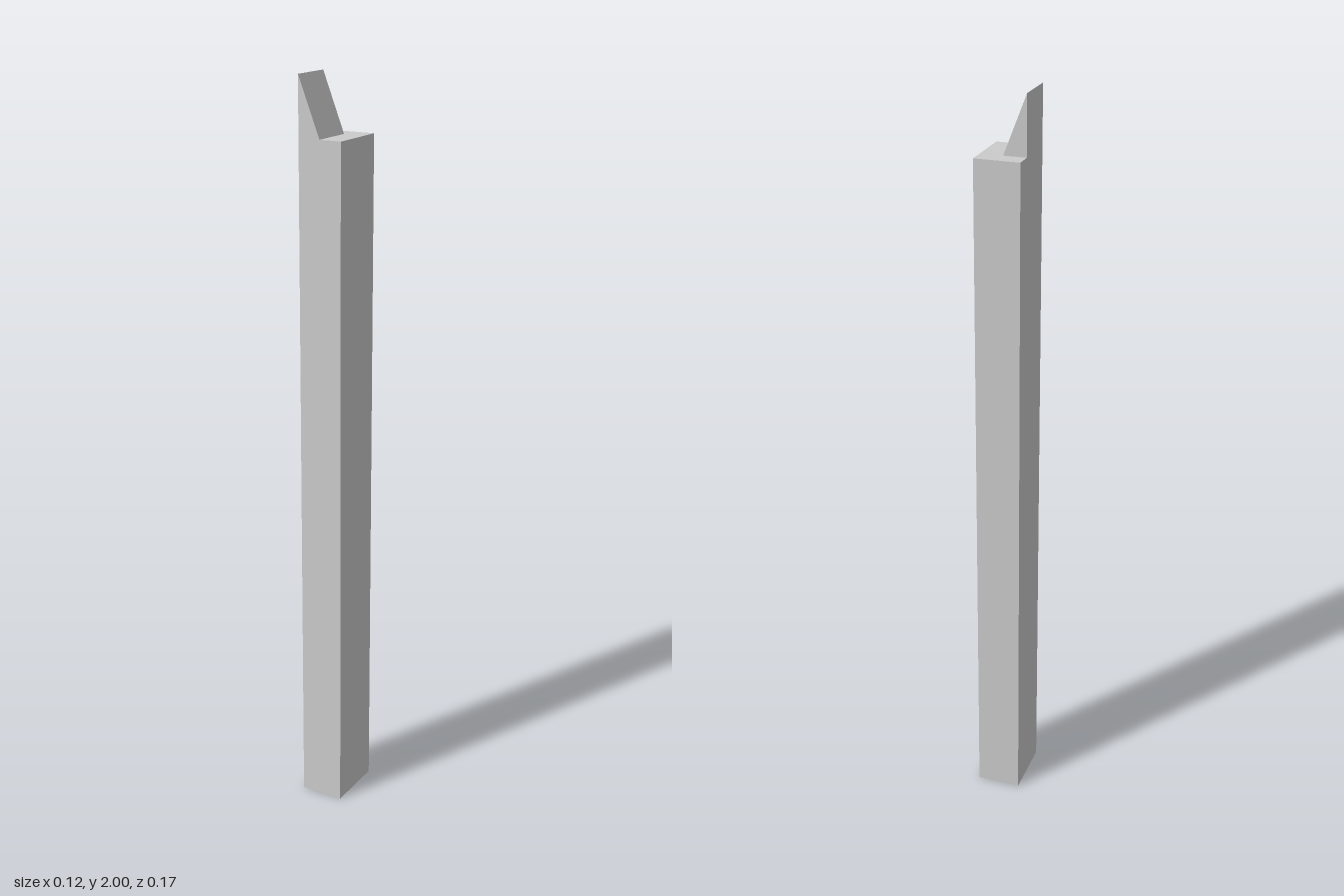
import * as THREE from 'three';

const HALF_WIDTH = 0.06;
const HALF_DEPTH = 0.084;
const POST_TOP = 1.846;
const WEDGE_BACK = -0.037;

export function createModel() {
  const group = new THREE.Group();
  group.name = 'notchedPost';
  const material = new THREE.MeshStandardMaterial({ color: 0xcccccc, flatShading: true });

  // Long rectangular post
  const post = new THREE.Mesh(
    new THREE.BoxGeometry(HALF_WIDTH * 2, POST_TOP, HALF_DEPTH * 2),
    material
  );
  post.name = 'post';
  post.position.y = POST_TOP / 2;
  group.add(post);

  // Tapered tenon: a triangular wedge flush with the right and front faces
  const profile = new THREE.Shape([
    new THREE.Vector2(-HALF_WIDTH, POST_TOP),
    new THREE.Vector2(0, POST_TOP),
    new THREE.Vector2(-HALF_WIDTH, 2),
  ]);
  const tenon = new THREE.Mesh(
    new THREE.ExtrudeGeometry(profile, { depth: HALF_DEPTH - WEDGE_BACK, bevelEnabled: false }),
    material
  );
  tenon.name = 'wedgeTenon';
  tenon.position.z = WEDGE_BACK;
  group.add(tenon);

  return group;
}
